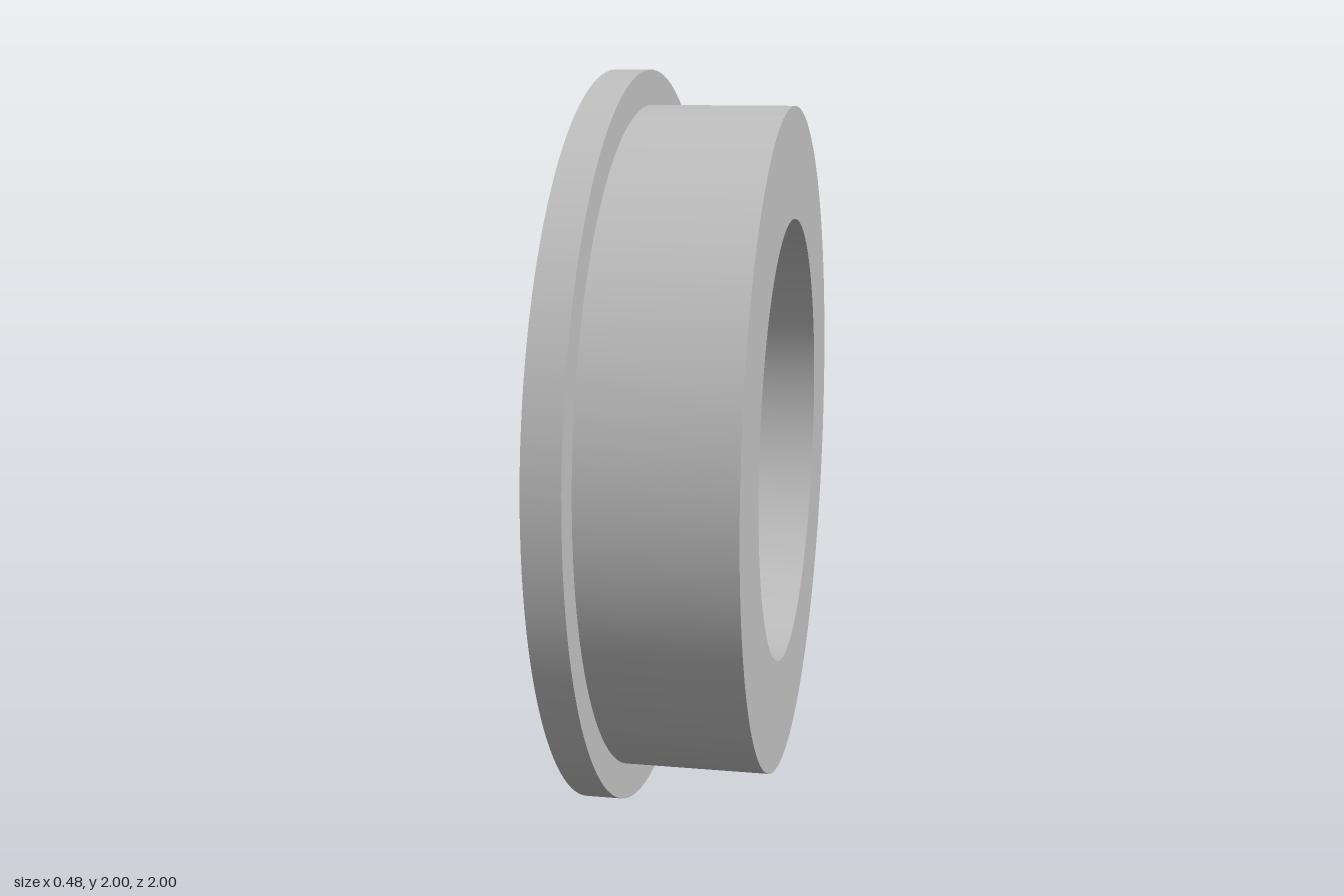
import * as THREE from 'three';
import { mergeGeometries } from 'three/addons/utils/BufferGeometryUtils.js';

const SEGMENTS = 128;
const BORE = 0.607, SLEEVE = 0.907, FLANGE = 1;        // radii
const BACK = -0.242, SHOULDER = -0.146, END = 0.242;   // positions along the x axis

// Revolve each profile edge [radius, x] separately, so corners stay sharp and curves smooth
function revolve(name, profile, material) {
  const bands = [];
  for (let i = 0; i < profile.length - 1; i++) {
    const edge = [profile[i], profile[i + 1]].map(([r, x]) => new THREE.Vector2(r, x));
    bands.push(new THREE.LatheGeometry(edge, SEGMENTS));
  }
  const geometry = mergeGeometries(bands);
  geometry.rotateZ(-Math.PI / 2);   // lathe axis y becomes x
  geometry.translate(0, 1, 0);      // rest on the ground
  const mesh = new THREE.Mesh(geometry, material);
  mesh.name = name;
  return mesh;
}

export function createModel() {
  const group = new THREE.Group();
  group.name = 'flangedBushing';
  const metal = new THREE.MeshStandardMaterial({ color: 0xc0c0c0 });
  metal.name = 'light grey metal';

  // Flange: back face, rim and shoulder
  group.add(revolve('flange', [[BORE, BACK], [FLANGE, BACK], [FLANGE, SHOULDER], [SLEEVE, SHOULDER]], metal));
  // Sleeve: outer wall and end face
  group.add(revolve('sleeve', [[SLEEVE, SHOULDER], [SLEEVE, END], [BORE, END]], metal));
  // Bore: inward-facing wall of the through hole
  group.add(revolve('bore', [[BORE, END], [BORE, BACK]], metal));
  return group;
}
